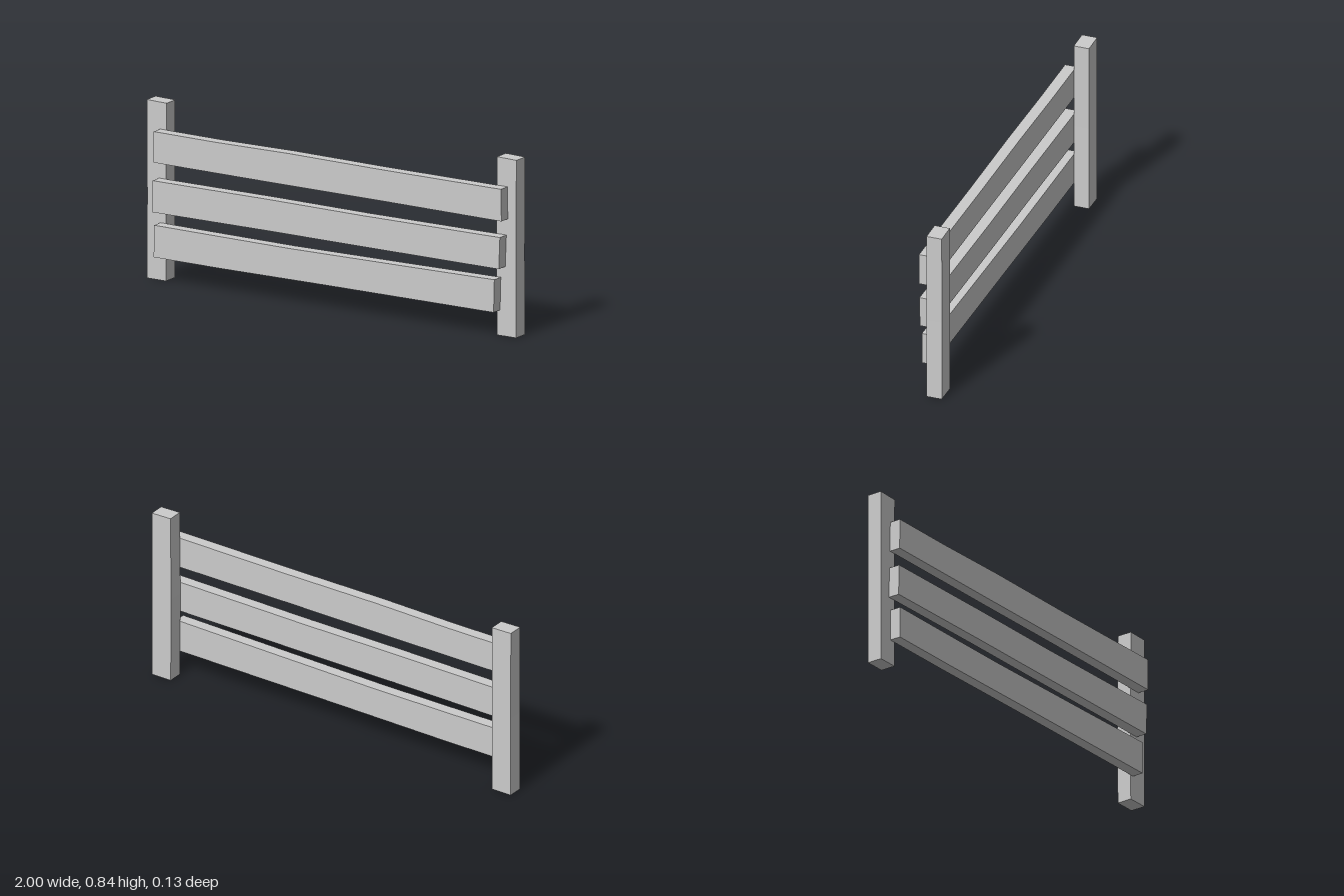
import * as THREE from 'three';

const material = new THREE.MeshStandardMaterial({ color: 0xcccccc, flatShading: true });

// A board cut from a slightly uneven outline (x, y), running from zBack to zFront
function board(name, outline, zBack, zFront) {
  const shape = new THREE.Shape(outline.map(([x, y]) => new THREE.Vector2(x, y)));
  const geometry = new THREE.ExtrudeGeometry(shape, { depth: zFront - zBack, bevelEnabled: false });
  geometry.translate(0, 0, zBack);
  const mesh = new THREE.Mesh(geometry, material);
  mesh.name = name;
  return mesh;
}

export function createModel() {
  const fence = new THREE.Group();
  fence.name = 'fence';

  // Upright posts
  const posts = {
    rightPost: [[-0.999, 0], [-0.896, 0], [-0.896, 0.42], [-0.894, 0.838], [-1, 0.841], [-0.998, 0.4]],
    leftPost: [[0.895, 0], [0.999, 0], [0.998, 0.4], [1, 0.837], [0.896, 0.84], [0.893, 0.42]],
  };
  for (const [name, outline] of Object.entries(posts)) fence.add(board(name, outline, -0.064, 0.01));

  // Hand-cut rails on the front of the posts
  const rails = {
    topRail: [[-0.93, 0.566], [-0.3, 0.562], [0.3, 0.56], [0.954, 0.555],
      [0.952, 0.706], [0.3, 0.707], [-0.2, 0.712], [-0.6, 0.709], [-0.928, 0.712]],
    middleRail: [[-0.938, 0.331], [-0.3, 0.332], [0.1, 0.33], [0.94, 0.328],
      [0.946, 0.478], [0.2, 0.476], [-0.3, 0.48], [-0.934, 0.48]],
    bottomRail: [[-0.928, 0.12], [-0.55, 0.118], [0, 0.12], [0.912, 0.12],
      [0.916, 0.275], [0.4, 0.27], [-0.2, 0.265], [-0.6, 0.268], [-0.926, 0.271]],
  };
  for (const [name, outline] of Object.entries(rails)) fence.add(board(name, outline, 0.01, 0.065));

  return fence;
}
